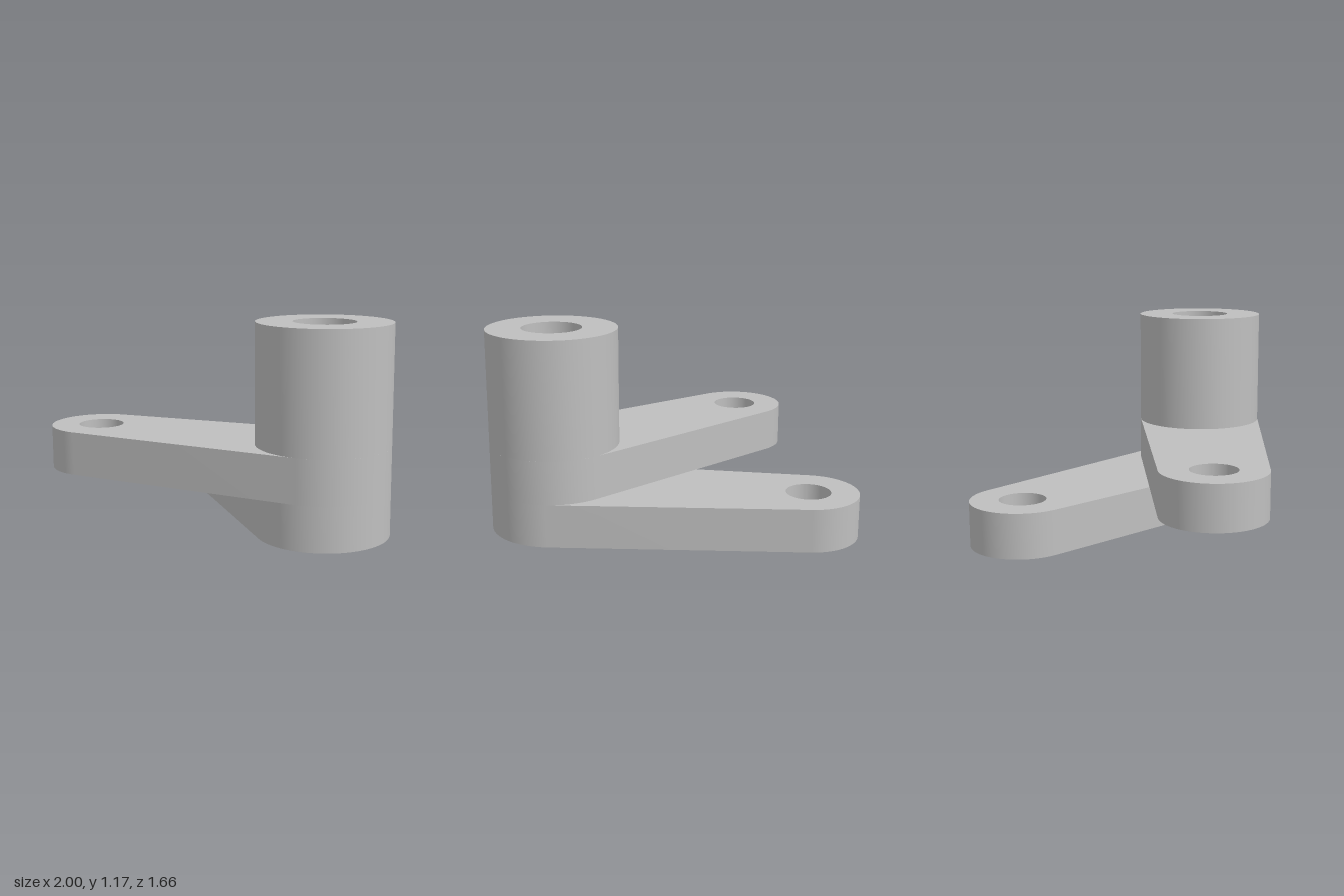
import * as THREE from 'three';
import { toCreasedNormals } from 'three/addons/utils/BufferGeometryUtils.js';

const HUB = { x: 0.625, z: 0.048, r: 0.373, bore: 0.172 };
const PIN = { r: 0.29, bore: 0.13 };

function hole(x, z, r) {
  return new THREE.Path().absarc(x, z, r, 0, Math.PI * 2, true);
}

// Plan outlines are drawn in x and z, then raised from y0 to y1.
function raise(shape, y0, y1) {
  const geo = new THREE.ExtrudeGeometry(shape, { depth: y1 - y0, bevelEnabled: false, curveSegments: 40 });
  geo.rotateX(Math.PI / 2);
  geo.translate(0, y1, 0);
  return toCreasedNormals(geo, 0.5);
}

// Hub circle and pin circle joined by their outer tangents, with both bores.
function armShape(x, z) {
  const dx = x - HUB.x, dz = z - HUB.z;
  const angle = Math.atan2(dz, dx);
  const spread = Math.acos((HUB.r - PIN.r) / Math.hypot(dx, dz));
  const shape = new THREE.Shape();
  shape.absarc(HUB.x, HUB.z, HUB.r, angle + spread, angle - spread + Math.PI * 2, false);
  shape.absarc(x, z, PIN.r, angle - spread, angle + spread, false);
  shape.closePath();
  shape.holes.push(hole(HUB.x, HUB.z, HUB.bore), hole(x, z, PIN.bore));
  return shape;
}

export function createModel() {
  const model = new THREE.Group();
  model.name = 'twoArmLever';
  const steel = new THREE.MeshStandardMaterial({ color: 0xbfbfbf });
  steel.name = 'light grey steel';

  const add = (name, geometry) => {
    const mesh = new THREE.Mesh(geometry, steel);
    mesh.name = name;
    model.add(mesh);
  };

  // Two arms stacked around the same bore
  add('lowerArm', raise(armShape(-0.71, -0.545), 0, 0.25));
  add('upperArm', raise(armShape(-0.685, 0.54), 0.25, 0.5));

  // Tall hub tube above the arms
  const ring = new THREE.Shape().absarc(HUB.x, HUB.z, HUB.r, 0, Math.PI * 2, false);
  ring.holes.push(hole(HUB.x, HUB.z, HUB.bore));
  add('hubTube', raise(ring, 0.5, 1.17));

  return model;
}
